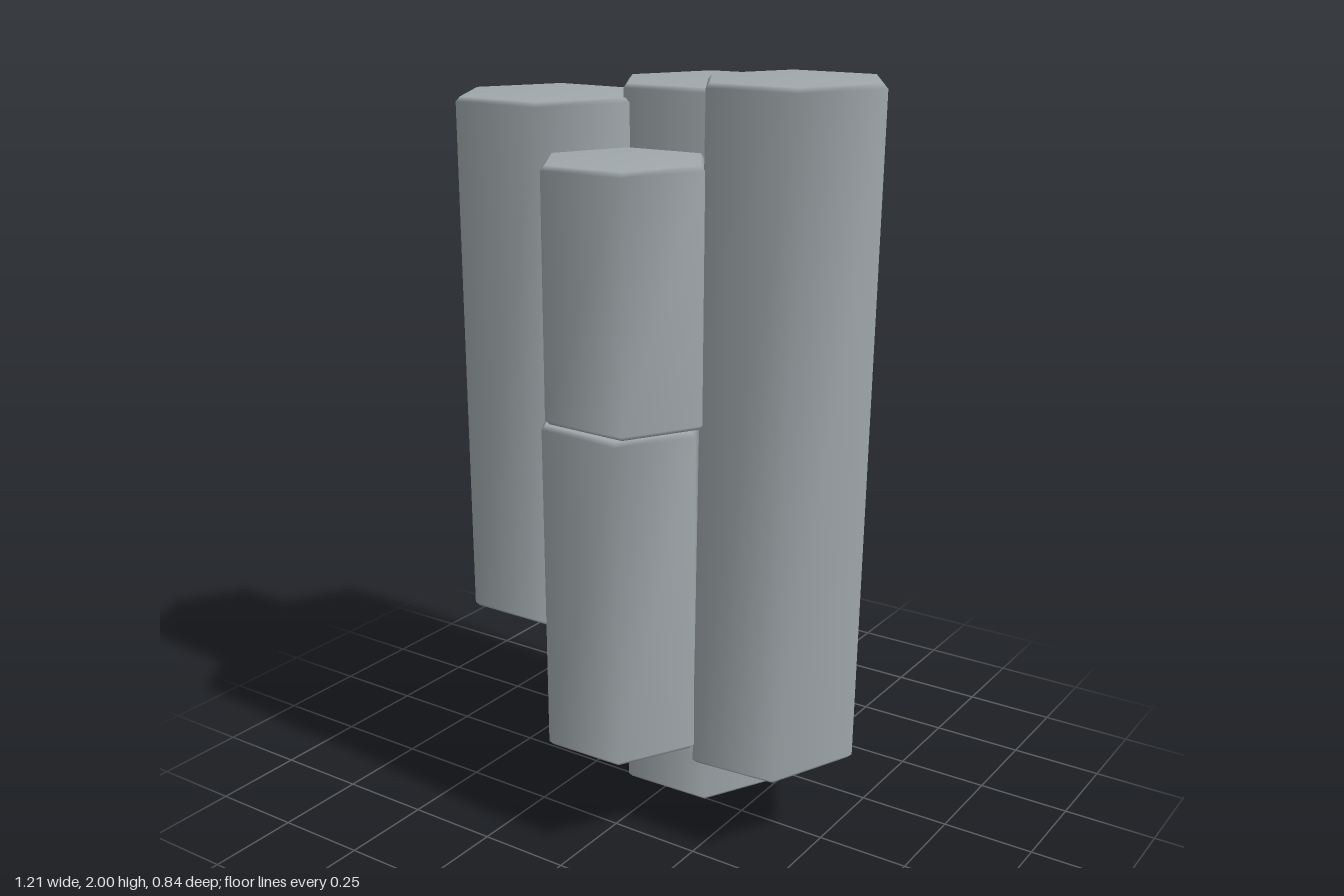
import * as THREE from 'three';

const stone = new THREE.MeshStandardMaterial({ color: 0xa0a8ab });
stone.name = 'basaltGrey';

// Six-sided column with bevelled rims. Each end is a centre [x, y, z] and a
// slope [dy/dx, dy/dz] that tilts the cap.
function column(name, { radius, turn = 0, bottom, top, bottomSlope = [0, 0], topSlope = [0, 0] }) {
  const sides = 6, bevel = 0.012;
  const rings = [
    [bottom, bottomSlope, radius - bevel, 0],
    [bottom, bottomSlope, radius, bevel],
    [top, topSlope, radius, -bevel],
    [top, topSlope, radius - bevel, 0],
  ];
  const positions = [], index = [];
  for (const [c, slope, r, lift] of rings) {
    for (let i = 0; i < sides; i++) {
      const a = THREE.MathUtils.degToRad(turn) + (i / sides) * Math.PI * 2;
      const dx = r * Math.cos(a), dz = -r * Math.sin(a);
      positions.push(c[0] + dx, c[1] + lift + slope[0] * dx + slope[1] * dz, c[2] + dz);
    }
  }
  positions.push(...bottom, ...top);
  const bottomCentre = rings.length * sides, topCentre = bottomCentre + 1;
  const last = (rings.length - 1) * sides;
  for (let i = 0; i < sides; i++) {
    const j = (i + 1) % sides;
    for (let k = 0; k < last; k += sides) {
      const a = k + i, b = k + j;
      index.push(a, b, b + sides, a, b + sides, a + sides);
    }
    index.push(j, i, bottomCentre, last + i, last + j, topCentre);
  }
  const geometry = new THREE.BufferGeometry();
  geometry.setAttribute('position', new THREE.Float32BufferAttribute(positions, 3));
  geometry.setIndex(index);
  geometry.computeVertexNormals();
  const mesh = new THREE.Mesh(geometry, stone);
  mesh.name = name;
  return mesh;
}

export function createModel() {
  const group = new THREE.Group();
  group.name = 'basaltColumns';
  group.add(
    // Tall column standing on the ground
    column('backColumn', { radius: 0.253, turn: 2, bottom: [0.002, 0, -0.2], top: [0.002, 1.965, -0.2] }),
    // Raised column on the -x side
    column('rightColumn', { radius: 0.255, bottom: [-0.352, 0.53, 0.025], top: [-0.352, 1.93, 0.025] }),
    // Leaning column on the +x side with a slanted foot
    column('leftColumn', {
      radius: 0.241, turn: 1, bottom: [0.34, 0.254, 0], top: [0.363, 2, -0.004], bottomSlope: [0.04, -0.06],
    }),
    // Front column, cracked into two blocks
    column('frontLowerBlock', {
      radius: 0.22, turn: 1, bottom: [0.01, 0.285, 0.22], top: [0.01, 1.165, 0.22], topSlope: [-0.04, 0],
    }),
    column('frontUpperBlock', {
      radius: 0.223, turn: 3, bottom: [0.023, 1.172, 0.222], top: [0.026, 1.81, 0.222], bottomSlope: [-0.04, 0],
    }),
  );
  return group;
}
